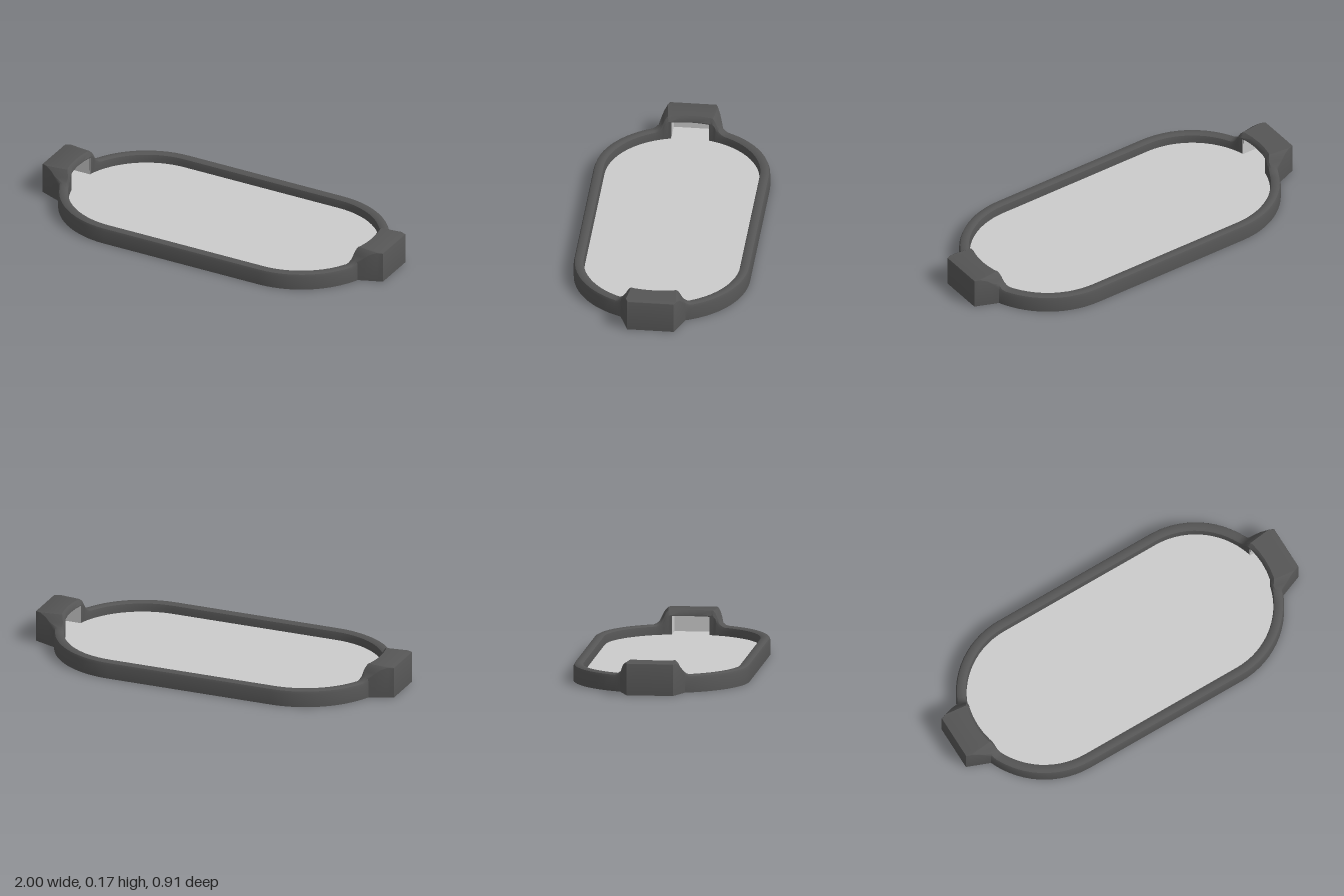
import * as THREE from 'three';
import { toCreasedNormals } from 'three/addons/utils/BufferGeometryUtils.js';

const CX = 0.455, R_OUT = 0.455, R_IN = 0.4, PANEL_Y = 0.04;

// Piecewise linear lookup through [input, output] pairs
function lerpTable(table, v) {
  for (let i = 1; i < table.length; i++) {
    const [a, ya] = table[i - 1], [b, yb] = table[i];
    if (v <= b) return ya + (yb - ya) * (v - a) / (b - a);
  }
  return table[table.length - 1][1];
}

// Rim height across the ends: raised over the lug, low elsewhere
const HEIGHT = [[0, 0.165], [0.13, 0.165], [0.145, 0.15], [0.165, 0.11], [0.185, 0.095], [0.2, 0.09]];

// Stations around the stadium outline, denser at the lugs
function makeStations() {
  const quarter = [0, 0.06, 0.11, 0.112, 0.12, 0.13, 0.145, 0.155, 0.168, 0.185, 0.2].map(z => Math.asin(z / R_OUT));
  for (let d = 30; d <= 90; d += 5) quarter.push(d * Math.PI / 180);
  const half = [...quarter.slice(1).reverse().map(a => -a), ...quarter];
  const stations = [];
  for (const side of [1, -1]) {
    for (const a of half) {
      const c = Math.cos(a), s = Math.sin(a), z = Math.abs(R_OUT * s);
      let outX = CX + R_OUT * c;
      if (z < 0.168) outX = lerpTable([[0, 1], [0.12, 1], [0.168, 0.878]], z);
      stations.push({
        outer: [side * outX, side * R_OUT * s],
        inner: [side * (CX + R_IN * c), side * R_IN * s],
        height: lerpTable(HEIGHT, z),
        low: z < 0.111 ? 0.135 : PANEL_Y - 0.02,
        lug: z < 0.165
      });
    }
  }
  return stations;
}

// Rim and both lugs as one swept band: outer wall, rounded top, inner wall
function rimGeometry(stations) {
  const positions = [], index = [];
  const N = 8;
  for (const { outer, inner, height: h, low, lug } of stations) {
    const r = lug ? 0.004 : 0.02;
    const profile = [[0, 0], [0, h - r], [lug ? 0.01 : 0.1, h - r * 0.3], [lug ? 0.03 : 0.3, h],
      [lug ? 0.88 : 0.7, h], [0.92, h - 0.007], [1, h - 0.025], [1, low]];
    for (const [t, y] of profile) {
      positions.push(outer[0] + (inner[0] - outer[0]) * t, y, outer[1] + (inner[1] - outer[1]) * t);
    }
  }
  const M = stations.length;
  for (let i = 0; i < M; i++) {
    const a = i * N, b = ((i + 1) % M) * N;
    for (let j = 0; j < N - 1; j++) {
      index.push(a + j, a + j + 1, b + j, a + j + 1, b + j + 1, b + j);
    }
  }
  const geo = new THREE.BufferGeometry();
  geo.setAttribute('position', new THREE.Float32BufferAttribute(positions, 3));
  geo.setIndex(index);
  return toCreasedNormals(geo, 0.6);
}

export function createModel() {
  const group = new THREE.Group();
  const dark = new THREE.MeshStandardMaterial({ color: 0x555555, side: THREE.DoubleSide });
  const light = new THREE.MeshStandardMaterial({ color: 0xcccccc });
  const inside = new THREE.MeshStandardMaterial({ color: 0xcccccc, side: THREE.BackSide });
  const stations = makeStations();

  const rim = new THREE.Mesh(rimGeometry(stations), dark);
  rim.name = 'rimWithLugs';
  group.add(rim);

  // Flat panel filling the outline, just inside the rim wall
  const outline = new THREE.Shape(stations.map(s => new THREE.Vector2(s.outer[0] * 0.996, -s.outer[1] * 0.996)));
  const panelGeo = new THREE.ExtrudeGeometry(outline, { depth: PANEL_Y, bevelEnabled: false });
  panelGeo.rotateX(-Math.PI / 2);
  const panel = new THREE.Mesh(panelGeo, light);
  panel.name = 'panel';
  group.add(panel);

  // Pockets inside the lugs, open towards the panel and at the floor
  const pocketGeo = new THREE.BoxGeometry(0.12, 0.135 - PANEL_Y, 0.196);
  const idx = Array.from(pocketGeo.index.array);
  pocketGeo.setIndex([...idx.slice(6, 18), ...idx.slice(24)]);
  pocketGeo.clearGroups();
  pocketGeo.translate(-0.9, (0.135 + PANEL_Y) / 2, 0);
  for (const [name, turn] of [['rightLugPocket', 0], ['leftLugPocket', Math.PI]]) {
    const pocket = new THREE.Mesh(pocketGeo, inside);
    pocket.name = name;
    pocket.rotation.y = turn;
    group.add(pocket);
  }
  return group;
}
